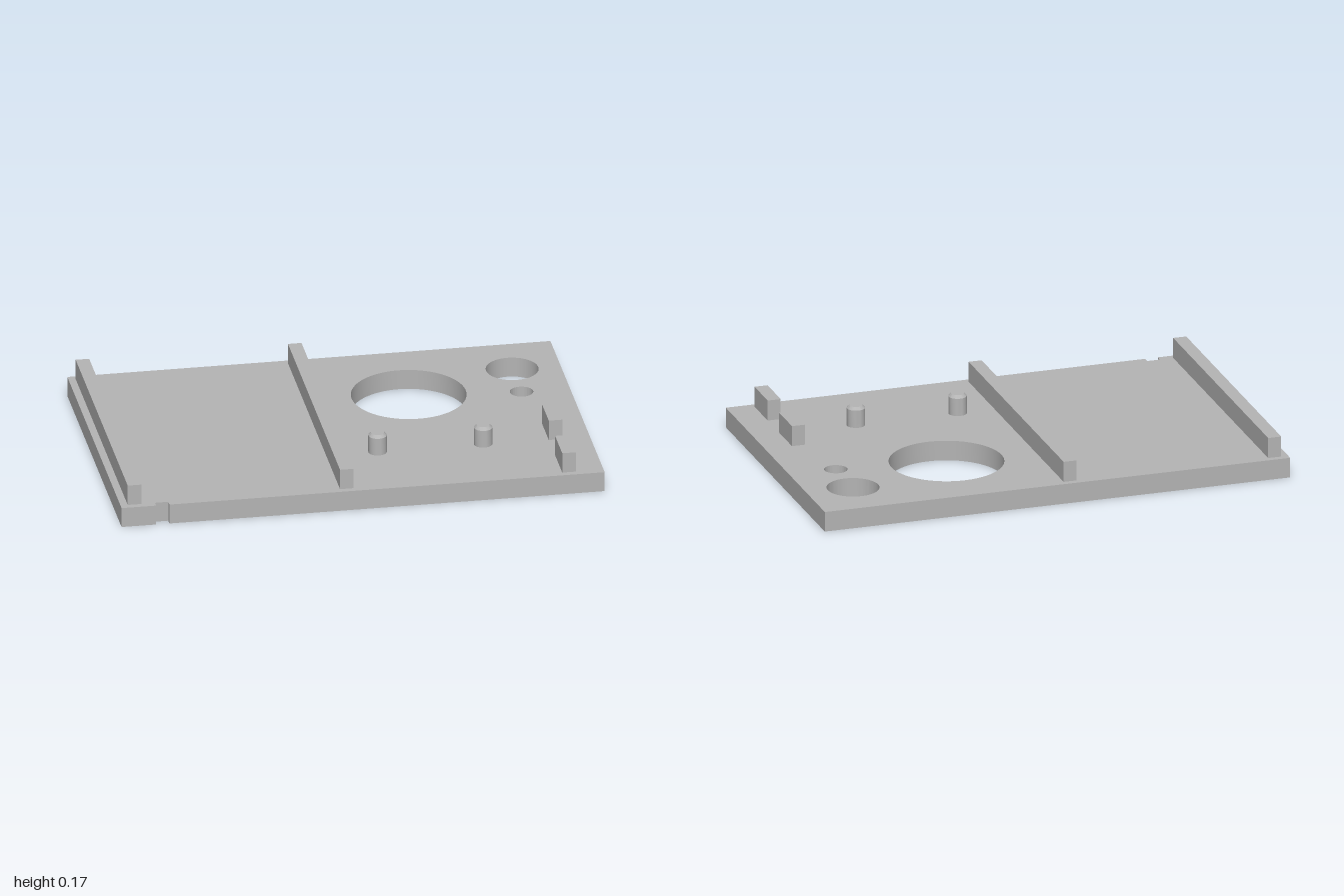
import * as THREE from 'three';
import { toCreasedNormals } from 'three/addons/utils/BufferGeometryUtils.js';

const PLATE_TOP = 0.085;
const TOP = 0.172;

export function createModel() {
  const model = new THREE.Group();
  model.name = 'mountingPlate';
  const grey = new THREE.MeshStandardMaterial({ color: 0xb4b4b4 });
  grey.name = 'grey';

  const add = (name, geometry, x = 0, y = 0, z = 0) => {
    const mesh = new THREE.Mesh(geometry, grey);
    mesh.name = name;
    mesh.position.set(x, y, z);
    model.add(mesh);
  };

  // Base plate outline (shape y is -z) with a small notch in the front edge
  const outline = new THREE.Shape([
    [-1, -0.64], [-0.857, -0.64], [-0.857, -0.613], [-0.802, -0.613],
    [-0.802, -0.64], [1, -0.64], [1, 0.64], [-1, 0.64],
  ].map(([x, y]) => new THREE.Vector2(x, y)));

  // Three round through-holes: x, z, radius
  for (const [x, z, r] of [[0.342, -0.233, 0.236], [0.8, -0.403, 0.108], [0.8, -0.181, 0.048]]) {
    outline.holes.push(new THREE.Path().absarc(x, -z, r, 0, Math.PI * 2, true));
  }
  const plate = new THREE.ExtrudeGeometry(outline, {
    depth: PLATE_TOP, bevelEnabled: false, curveSegments: 64,
  });
  plate.rotateX(-Math.PI / 2);
  add('basePlate', toCreasedNormals(plate, 0.5));

  // Long rails and short stop blocks: name, x centre, z start, z end
  const bars = [
    ['outerRail', -0.942, -0.614, 0.614],
    ['innerRail', -0.063, -0.614, 0.614],
    ['rearBlock', 0.857, 0.13, 0.296],
    ['frontBlock', 0.857, 0.444, 0.614],
  ];
  for (const [name, x, z0, z1] of bars) {
    const bar = new THREE.BoxGeometry(0.056, TOP - PLATE_TOP, z1 - z0);
    add(name, bar, x, (TOP + PLATE_TOP) / 2, (z0 + z1) / 2);
  }

  // Locating pegs with chamfered tops
  const profile = [[0.038, 0], [0.038, 0.075], [0.027, 0.087], [0, 0.087]]
    .map(([r, y]) => new THREE.Vector2(r, y));
  const peg = toCreasedNormals(new THREE.LatheGeometry(profile, 32), 0.5);
  add('rightPeg', peg, 0.122, PLATE_TOP, 0.285);
  add('leftPeg', peg, 0.559, PLATE_TOP, 0.285);

  return model;
}
